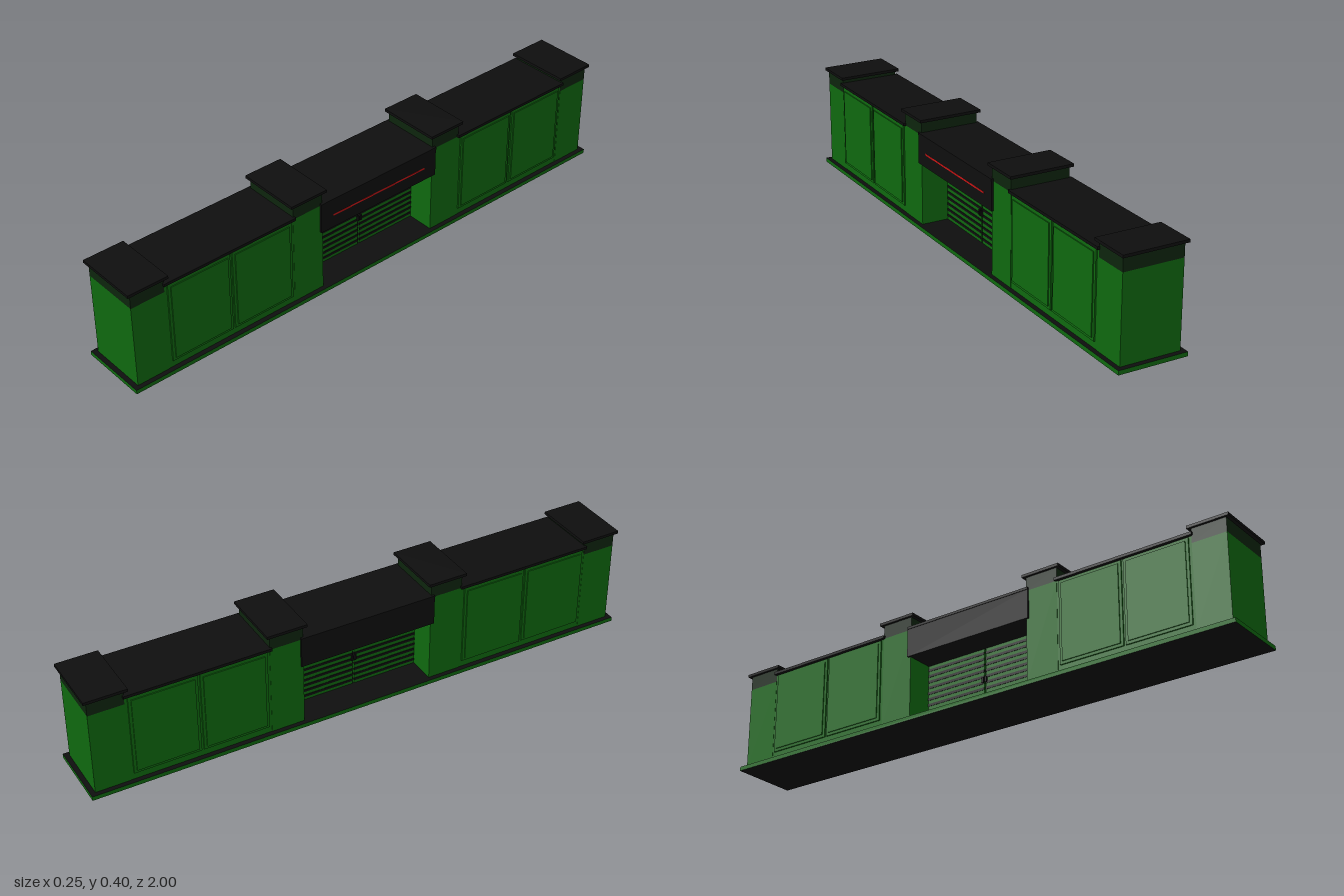
import * as THREE from 'three';

export function createModel() {
  const root = new THREE.Group();
  const mat = (name, color) => {
    const m = new THREE.MeshStandardMaterial({ color });
    m.name = name;
    return m;
  };
  const green = mat('green paint', 0x0f680f);
  const darkGreen = mat('dark green paint', 0x0d240d);
  const black = mat('black trim', 0x0e0e0e);
  const red = mat('red paint', 0xc81414);

  // Box given by its [min, max] along each axis
  const box = (name, material, [x0, x1], [y0, y1], [z0, z1], parent = root) => {
    const mesh = new THREE.Mesh(new THREE.BoxGeometry(x1 - x0, y1 - y0, z1 - z0), material);
    mesh.position.set((x0 + x1) / 2, (y0 + y1) / 2, (z0 + z1) / 2);
    mesh.name = name;
    parent.add(mesh);
    return mesh;
  };
  const span = (h) => [-h, h];

  // Base slab: green edges, black top and underside
  box('base', [green, green, black, black, green, green], span(0.123), [0, 0.015], span(1));

  // Pillar with painted band and overhanging cap
  const pillar = (name, s, z0, z1, bandY, capY) => {
    const g = new THREE.Group();
    g.name = name;
    const z = (a, b) => (s > 0 ? [a, b] : [-b, -a]);
    box('pillarShaft', green, span(0.107), [0.015, bandY], z(z0, z1), g);
    box('pillarBand', darkGreen, span(0.107), [bandY, capY], z(z0, z1), g);
    box('pillarCap', black, span(0.116), [capY, capY + 0.01], z(z0 - 0.012, z1 + 0.012), g);
    root.add(g);
  };

  for (const s of [1, -1]) {
    const z = (a, b) => (s > 0 ? [a, b] : [-b, -a]);
    pillar('endPillar', s, 0.86, 0.983, 0.315, 0.365);
    pillar('innerPillar', s, 0.24, 0.36, 0.342, 0.39);

    // Wall between the pillars, with its roof strip
    box('wall', green, span(0.106), [0.015, 0.34], z(0.36, 0.86));
    box('roofStrip', black, span(0.116), [0.341, 0.351], z(0.355, 0.865));

    // Two stepped panels on each long side
    for (const side of [1, -1]) {
      for (const [a, b] of [[0.37, 0.606], [0.614, 0.85]]) {
        const x = (d0, d1) => (side > 0 ? [d0, d1] : [-d1, -d0]);
        box('panelFrame', green, x(0.106, 0.111), [0.04, 0.337], z(a, b));
        box('panelFace', green, x(0.111, 0.1145), [0.05, 0.326], z(a + 0.01, b - 0.01));
      }
    }

    // Gate leaf with horizontal slats, leaving a narrow slit in the middle
    const gate = new THREE.Group();
    gate.name = 'gateLeaf';
    box('gatePanel', green, span(0.008), [0.015, 0.24], z(0.003, 0.24), gate);
    for (let i = 0; i < 10; i++) {
      const y = 0.026 + i * 0.0215;
      box('gateSlat', black, span(0.0095), [y, y + 0.009], z(0.003, 0.24), gate);
    }
    box('gateHandle', black, span(0.016), [0.115, 0.135], z(0.003, 0.009), gate);
    root.add(gate);
  }

  // Fascia beam bridging the opening
  box('fasciaBeam', black, span(0.114), [0.24, 0.342], span(0.25));
  box('fasciaRoof', black, span(0.116), [0.342, 0.351], span(0.25));
  box('fasciaStripe', red, [0.114, 0.1145], [0.284, 0.29], span(0.2));

  return root;
}
